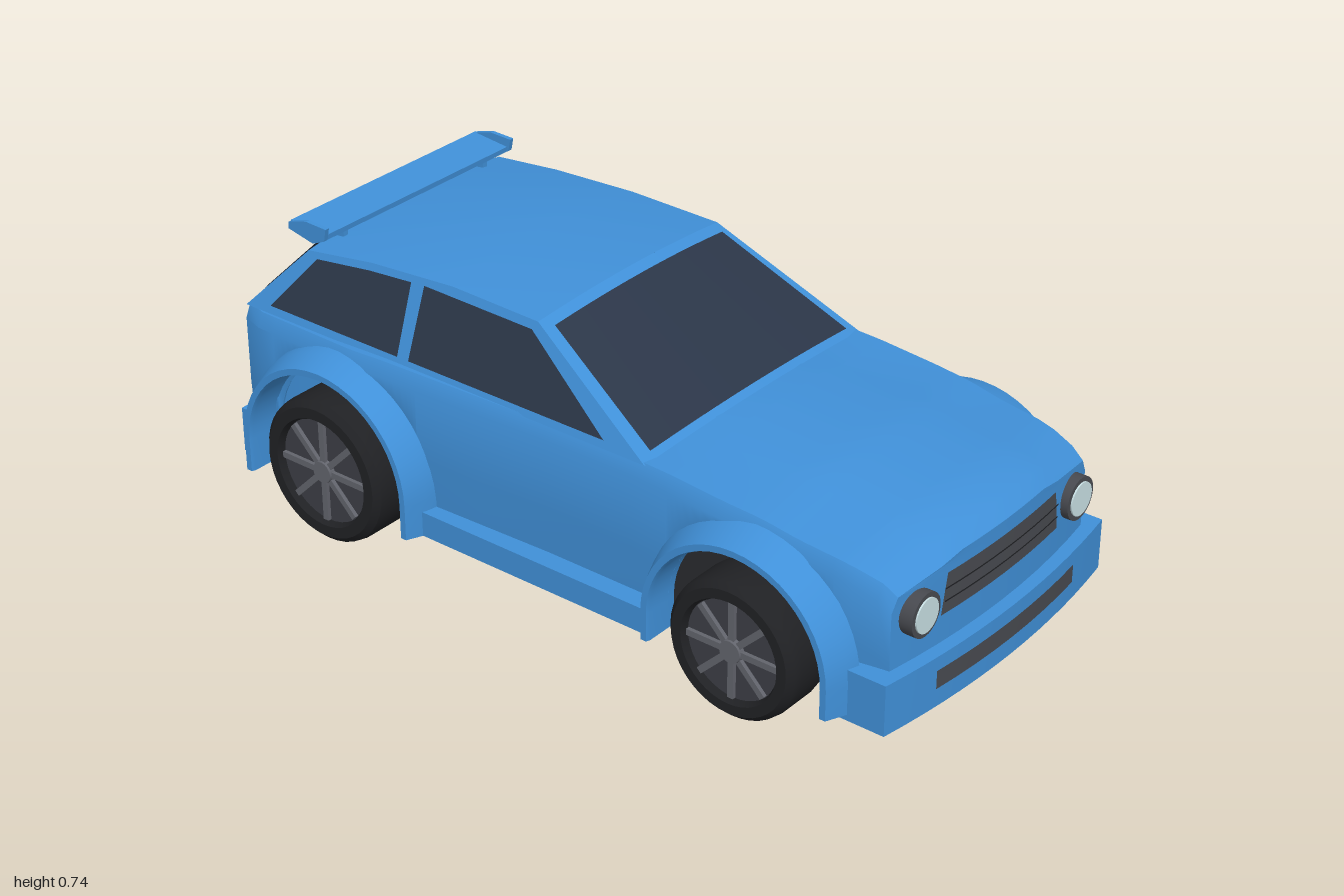
import * as THREE from 'three';
import { toCreasedNormals } from 'three/addons/utils/BufferGeometryUtils.js';

const mat = (color) => new THREE.MeshStandardMaterial({ color, side: THREE.DoubleSide });
const paint = mat(0x4090d8), glass = mat(0x2b3648), rubber = mat(0x202124), dark = mat(0x484a50);
const rimGrey = mat(0x3c3e45), spokeGrey = mat(0x62646c), lamp = mat(0xc8e0e4), red = mat(0x9a2226);

const clamp01 = (v) => Math.min(1, Math.max(0, v));

// piecewise-linear lookup
function lookup(table, x) {
  for (let i = 1; i < table.length; i++) {
    const [x0, a] = table[i - 1], [x1, b] = table[i];
    if (x <= x1) return a + (b - a) * clamp01((x - x0) / (x1 - x0));
  }
  return table[table.length - 1][1];
}

// nose and tail are bowed in plan
const bow = (x, z) => x > 0
  ? x - 0.22 * z * z * clamp01((x - 0.6) / 0.35)
  : x + 0.12 * z * z * clamp01((-x - 0.6) / 0.35);

// surface through equal-length rows of [x, y, z]
function grid(rows, crease = 0.5) {
  const n = rows[0].length, index = [];
  for (let i = 0; i < rows.length - 1; i++)
    for (let j = 0; j < n - 1; j++) {
      const a = i * n + j, b = a + n;
      index.push(a, b, a + 1, b, b + 1, a + 1);
    }
  const g = new THREE.BufferGeometry();
  g.setAttribute('position', new THREE.Float32BufferAttribute(rows.flat(2), 3));
  g.setIndex(index);
  return toCreasedNormals(g, crease);
}

const box = (w, h, d) => new THREE.BoxGeometry(w, h, d);
const spread = (n, f) => Array.from({ length: n + 1 }, (_, i) => f(-1 + (2 * i) / n));

const wheels = [
  { name: 'rear', x: -0.63, y: 0.19, r: 0.19, out: 0.515, arch: 0.245, flare: 0.505 },
  { name: 'front', x: 0.585, y: 0.175, r: 0.175, out: 0.497, arch: 0.235, flare: 0.485 },
];

// lower body
const topLine = [[-1, 0.5], [-0.5, 0.515], [0.3, 0.515], [0.6, 0.505], [0.85, 0.475], [0.93, 0.45], [0.965, 0.425]];
const widthLine = [[-1, 0.395], [-0.93, 0.42], [-0.6, 0.44], [0, 0.42], [0.5, 0.42], [0.85, 0.405], [0.965, 0.385]];
const dropLine = [[0.3, 0.015], [0.7, 0.035], [0.965, 0.03]];

function halfSection(x, yb) {
  const t = lookup(topLine, x), w = lookup(widthLine, x), e = t - lookup(dropLine, x);
  return [[yb, w - 0.01], [(yb + e - 0.035) / 2, w], [e - 0.035, w], [e, w - 0.018],
    [t - 0.013, 0.23], [t, 0.16], [t, 0]];
}

function archStations(a) {
  const s = [[a.x - a.arch, 0.1]];
  for (let i = 0; i <= 20; i++) {
    const t = Math.PI * (1 - i / 20);
    s.push([a.x + a.arch * Math.cos(t), a.y + a.arch * Math.sin(t)]);
  }
  return [...s, [a.x + a.arch, 0.1]];
}

const TAIL = -0.993, NOSE = 0.965;
function bodyShell() {
  const stations = [[TAIL, 0.1], [-0.93, 0.1], ...archStations(wheels[0]), [-0.2, 0.1], [0, 0.1], [0.25, 0.1],
    ...archStations(wheels[1]), [0.87, 0.1], [0.93, 0.1], [NOSE, 0.1]];
  return grid(stations.map(([x, yb]) => {
    const h = halfSection(x, yb);
    const all = [...h, ...h.slice(0, -1).reverse().map(([y, z]) => [y, -z])];
    return all.map(([y, z]) => [bow(x, z), y, z]);
  }));
}
const endCap = (x) => grid(halfSection(x, 0.1).map(([y, w]) => spread(10, (t) => [bow(x, t * w), y, t * w])));

// bowed strip on the nose or tail
const strip = (x, y0, y1, z0, z1, z0Top = z0, z1Top = z1) => grid([[y0, z0, z1], [y1, z0Top, z1Top]].map(
  ([y, a, b]) => spread(8, (t) => {
    const z = (a + b) / 2 + (t * (b - a)) / 2;
    return [bow(x, z), y, z];
  })));

// cabin: sides lean inwards with height
const sideZ = (y) => 0.405 - (y - 0.5) * 0.38;
function sidePanel(points, offset) {
  const g = new THREE.ShapeGeometry(new THREE.Shape(points.map(([x, y]) => new THREE.Vector2(x, y))));
  const p = g.attributes.position;
  for (let i = 0; i < p.count; i++) p.setZ(i, sideZ(p.getY(i)) + offset);
  g.computeVertexNormals();
  return g;
}
const roofLine = [[-0.8, 0.665], [-0.6, 0.69], [-0.35, 0.705], [-0.09, 0.7]];
const roofRow = ([x, y]) => spread(8, (t) => [x + 0.01 * (1 - t * t) * Math.sign(x + 0.3), y + 0.021 * (1 - t * t), t * sideZ(y)]);

// sloping screen between the waistline and a roof end; s and v crop it for the glass
function screen(xBase, roofEnd, s, v0, v1, lift) {
  const at = (t, v) => {
    const c = 1 - t * t, base = [xBase + Math.sign(xBase) * 0.012 * c, 0.495 + 0.022 * c, t * sideZ(0.495)];
    const top = [roofEnd[0] + Math.sign(xBase) * 0.01 * c, roofEnd[1] + 0.021 * c, t * sideZ(roofEnd[1])];
    const p = base.map((b, i) => b + (top[i] - b) * v);
    return [p[0] + Math.sign(xBase) * lift, p[1] + lift, p[2]];
  };
  return grid([v0, v1].map((v) => spread(10, (t) => at(t * s, v))));
}

// wheel arch flare swept round the arch and straight down to the sill
function flare(a) {
  const profile = [[0.052, 0.405], [0.042, a.flare - 0.05], [0.02, a.flare], [0.004, a.flare], [0, a.flare - 0.01], [0, 0.39]];
  const rows = [];
  for (let i = -1; i <= 25; i++) {
    const t = (Math.PI * Math.min(24, Math.max(0, i))) / 24, end = i < 0 || i > 24;
    rows.push(profile.map(([dr, z]) => {
      const r = a.arch + dr;
      return [a.x + r * Math.cos(t), end ? 0.1 : a.y + r * Math.sin(t), z];
    }));
  }
  return grid(rows);
}

function wheel(a, add) {
  const w = a.out - 0.345, h = w / 2, r = a.r, hub = r * 0.72;
  const g = new THREE.Group();
  g.name = a.name + 'Wheel';
  const part = (name, geo, m) => add(name, geo, m, g);
  const profile = [[hub, -h], [r * 0.9, -h], [r * 0.98, -h + 0.015], [r, -h + 0.035], [r, h - 0.035],
    [r * 0.98, h - 0.015], [r * 0.9, h], [hub + 0.006, h], [hub, h - 0.012], [hub, -h]];
  const tyre = new THREE.LatheGeometry(profile.map(([x, y]) => new THREE.Vector2(x, y)), 40);
  part('tyre', toCreasedNormals(tyre.rotateX(Math.PI / 2), 0.6), rubber);
  part('rim', new THREE.CylinderGeometry(hub, hub, w - 0.04, 40).rotateX(Math.PI / 2), rimGrey);
  for (let i = 0; i < 8; i++)
    part('spoke', box(hub * 0.9, 0.016, 0.014).translate(hub * 0.53, 0, h - 0.017).rotateZ((i * Math.PI) / 4), spokeGrey);
  part('hub', new THREE.CylinderGeometry(0.028, 0.032, 0.02, 16).rotateX(Math.PI / 2).translate(0, 0, h - 0.015), spokeGrey);
  g.position.set(a.x, a.y, 0.345 + h);
  return g;
}

export function createModel() {
  const car = new THREE.Group();
  car.name = 'car';
  const add = (name, geo, m, parent = car) => {
    const mesh = new THREE.Mesh(geo, m);
    mesh.name = name;
    parent.add(mesh);
    return mesh;
  };

  add('bodyShell', bodyShell(), paint);
  add('nosePanel', endCap(NOSE), paint);
  add('tailPanel', endCap(TAIL), paint);
  add('floor', box(1.8, 0.02, 0.68).translate(0, 0.095, 0), rubber);
  add('floorMiddle', box(0.7, 0.02, 0.84).translate(-0.015, 0.096, 0), rubber);

  // cabin
  add('roof', grid(roofLine.map(roofRow)), paint);
  add('windscreenFrame', screen(0.28, roofLine[3], 1, 0, 1, 0), paint);
  add('windscreen', screen(0.28, roofLine[3], 0.92, 0.05, 0.93, 0.004), glass);
  add('rearScreenFrame', screen(-0.96, roofLine[0], 1, 0, 1, 0), paint);
  add('rearScreen', screen(-0.96, roofLine[0], 0.88, 0.1, 0.93, 0.004), glass);

  // front bumper, grille and intake
  const bumper = box(0.12, 0.13, 0.87).translate(0.935, 0.15, 0);
  const bowed = new THREE.BoxGeometry(0.12, 0.13, 0.87, 1, 1, 14).translate(0.937, 0.15, 0);
  const p = bowed.attributes.position;
  for (let i = 0; i < p.count; i++) p.setX(i, p.getX(i) - 0.2 * p.getZ(i) ** 2);
  bumper.dispose();
  add('frontBumper', toCreasedNormals(bowed, 0.5), paint);
  add('lowerIntake', strip(1.0, 0.133, 0.18, -0.275, 0.275), dark);
  add('grille', strip(NOSE + 0.005, 0.29, 0.392, -0.232, 0.232, -0.215, 0.215), dark);
  for (const y of [0.322, 0.354]) add('grilleSlat', strip(NOSE + 0.008, y, y + 0.004, -0.225, 0.225), rubber);

  // spoiler wing
  add('spoilerWing', box(0.11, 0.014, 0.66).rotateZ(-0.1).translate(-0.812, 0.709, 0), paint);

  // everything mirrored left and right
  for (const s of [1, -1]) {
    const half = new THREE.Group();
    half.name = s > 0 ? 'leftSide' : 'rightSide';
    half.scale.z = s;
    car.add(half);
    const put = (name, geo, m) => add(name, geo, m, half);

    put('cabinSide', sidePanel([[-0.96, 0.495], [0.28, 0.495], ...[...roofLine].reverse()], 0), paint);
    put('rearQuarterWindow', sidePanel([[-0.88, 0.515], [-0.465, 0.515], [-0.47, 0.683], [-0.6, 0.674], [-0.765, 0.655]], 0.004), glass);
    put('doorWindow', sidePanel([[-0.43, 0.515], [0.16, 0.515], [-0.1, 0.682], [-0.43, 0.686]], 0.004), glass);
    put('sideSkirt', box(0.71, 0.065, 0.06).translate(-0.01, 0.133, 0.435), paint);

    for (const a of wheels) {
      put(a.name + 'Flare', flare(a), paint);
      half.add(wheel(a, add));
    }

    // headlight on the nose
    const disc = (r, d, x, y, z) => new THREE.CylinderGeometry(r, r, d, 28).rotateZ(Math.PI / 2).translate(x, y, z);
    put('headlightRing', disc(0.054, 0.05, 0.945, 0.335, 0.308), dark);
    put('headlight', disc(0.042, 0.05, 0.949, 0.335, 0.308), lamp);

    // tail lamps and corner blades
    put('tailLampHousing', strip(TAIL - 0.003, 0.42, 0.468, 0.21, 0.375), rubber);
    put('tailLamp', strip(TAIL - 0.006, 0.427, 0.462, 0.217, 0.368), red);
    put('reverseLamp', disc(0.025, 0.01, -0.981, 0.39, 0.3), lamp);
    put('rearCornerBlade', box(0.05, 0.12, 0.05).translate(-0.955, 0.15, 0.405), paint);
    put('rearCornerFin', box(0.03, 0.12, 0.05).translate(-0.905, 0.16, 0.43), paint);

    // spoiler end plate and strut
    const plate = new THREE.Shape([[-0.87, 0.7], [-0.79, 0.683], [-0.752, 0.7], [-0.745, 0.733], [-0.81, 0.735], [-0.868, 0.718]]
      .map(([x, y]) => new THREE.Vector2(x, y)));
    put('spoilerEndPlate', new THREE.ExtrudeGeometry(plate, { depth: 0.012, bevelEnabled: false }).translate(0, 0, 0.325), paint);
    put('spoilerStrut', box(0.03, 0.05, 0.015).translate(-0.78, 0.685, 0.25), paint);
  }
  return car;
}
